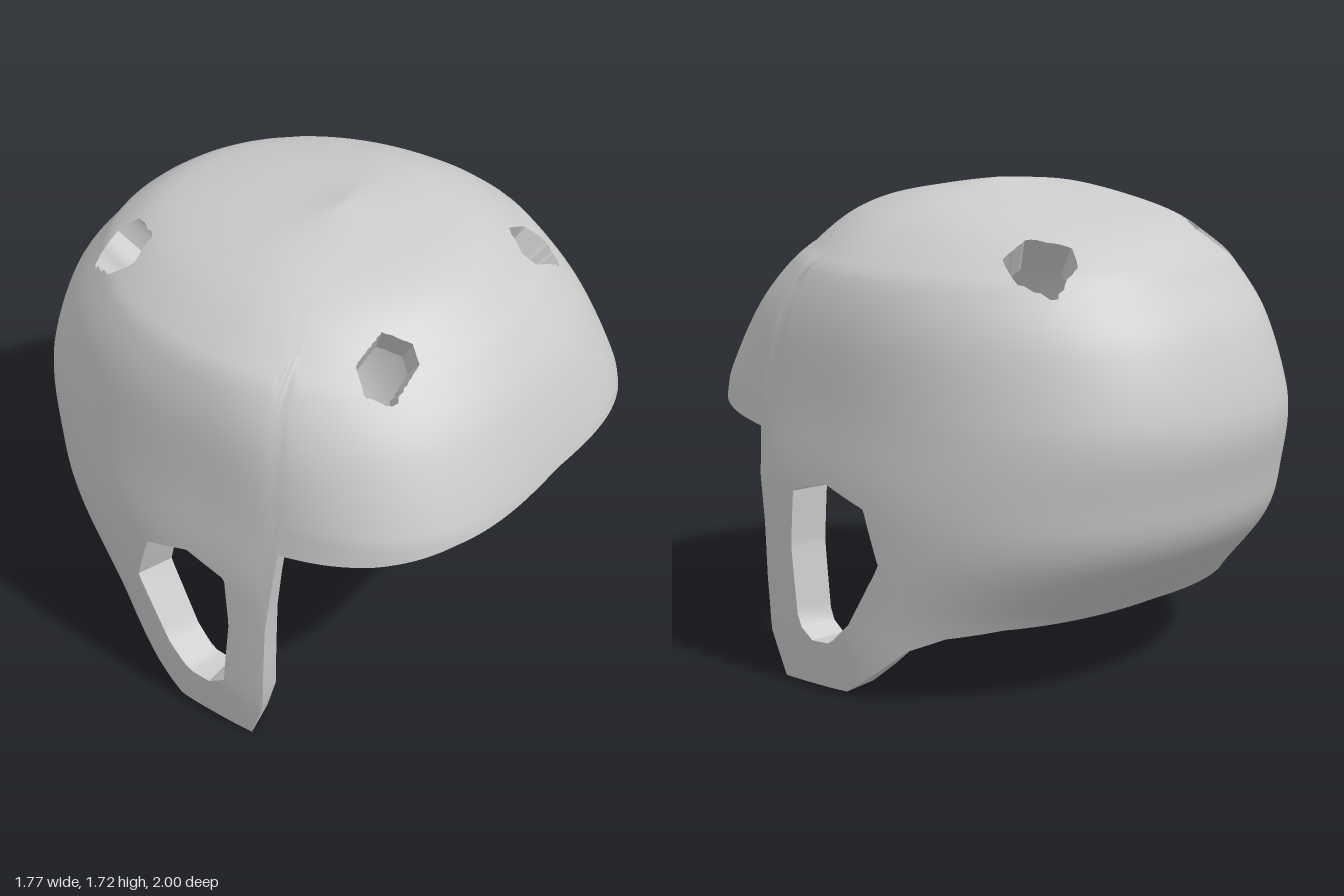
import * as THREE from 'three';
import { mergeVertices, toCreasedNormals } from 'three/addons/utils/BufferGeometryUtils.js';

const V = (x, y, z) => new THREE.Vector3(x, y, z);
const clamp = THREE.MathUtils.clamp;
const Z0 = 0.1;                         // z of the crown
const CENTRE = V(0, 0.75, Z0);

// Horizontal sections of the shell: [height, half width, front z, back z]
const SECTIONS = [
  [1.72, 0, 0.1, 0.1], [1.70, 0.2, 0.23, 0], [1.68, 0.36, 0.34, -0.14], [1.645, 0.47, 0.5, -0.38],
  [1.59, 0.58, 0.62, -0.6], [1.5, 0.7, 0.73, -0.74], [1.43, 0.76, 0.8, -0.8], [1.26, 0.815, 0.91, -0.92],
  [0.98, 0.85, 1, -1], [0.75, 0.88, 1, -0.96], [0.55, 0.885, 0.98, -0.89], [0.3, 0.885, 0.96, -0.66],
  [0.15, 0.88, 0.92, -0.55], [-0.1, 0.85, 0.9, -0.45],
];
const spline = (i, j) => new THREE.SplineCurve(SECTIONS.map((s) => new THREE.Vector2(s[i], s[j]))).getPoints(800);
const widths = spline(0, 1), depths = spline(2, 3);

// Lower edge of one side from brim centre to nape: [z, y]
const EDGE = [
  [1, 0.98], [0.93, 0.955], [0.85, 0.935], [0.75, 0.918], [0.6, 0.903], [0.44, 0.89], [0.4, 0.55],
  [0.38, 0.16], [0.32, 0], [0, 0.015], [-0.12, 0.1], [-0.24, 0.2], [-0.36, 0.255], [-0.5, 0.285], [-0.66, 0.3],
];

// Convex openings: ear holes as [z, y], vents as [x, z]
const EAR = [[0.235, 0.7], [0.07, 0.748], [-0.11, 0.69], [-0.17, 0.5], [-0.03, 0.265], [0.06, 0.18], [0.15, 0.172], [0.22, 0.22], [0.25, 0.5]];
const FRONT_VENT = [[0.38, 0.52], [0.51, 0.51], [0.56, 0.58], [0.51, 0.67], [0.36, 0.66], [0.33, 0.61]];
const BACK_VENT = [[0.36, -0.62], [0.49, -0.64], [0.55, -0.51], [0.52, -0.42], [0.4, -0.42], [0.32, -0.55]];

function section(y) {
  let lo = 0, hi = widths.length - 1;
  while (hi - lo > 1) {
    const m = (lo + hi) >> 1;
    if (widths[m].x > y) lo = m; else hi = m;
  }
  const t = clamp((widths[lo].x - y) / (widths[lo].x - widths[hi].x), 0, 1);
  const w = widths[lo].clone().lerp(widths[hi], t), d = depths[lo].clone().lerp(depths[hi], t);
  const k = clamp((1.5 - y) / 0.5, 0, 1);
  return { a: w.y + 1e-4, f: d.x - Z0 + 1e-4, b: Z0 - d.y + 1e-4, nf: 1.9 + 1.1 * k, nb: 2.1 + 0.2 * k };
}

function inside(p) {
  if (p.y > 1.72) return false;
  const s = section(p.y), front = p.z > Z0, n = front ? s.nf : s.nb;
  return (Math.abs(p.x) / s.a) ** n + (Math.abs(p.z - Z0) / (front ? s.f : s.b)) ** n < 1;
}

// Point where a ray leaves the shell
function cast(origin, dir) {
  let lo = 0, hi = 2;
  for (let i = 0; i < 30; i++) {
    const m = (lo + hi) / 2;
    if (inside(origin.clone().addScaledVector(dir, m))) lo = m; else hi = m;
  }
  return origin.clone().addScaledVector(dir, lo);
}
const toSurface = (p) => cast(CENTRE, p.clone().sub(CENTRE).normalize());

function widthAt(z, y) {
  const s = section(y), n = z > Z0 ? s.nf : s.nb;
  const u = Math.abs(z - Z0) / (z > Z0 ? s.f : s.b);
  return s.a * Math.max(0, 1 - u ** n) ** (1 / n);
}

// Position across a convex outline: below 1 is inside it
function outlineRatio(poly, u, v) {
  const cu = poly.reduce((s, p) => s + p[0], 0) / poly.length;
  const cv = poly.reduce((s, p) => s + p[1], 0) / poly.length;
  let ratio = 1e-3;
  poly.forEach((p, i) => {
    const q = poly[(i + 1) % poly.length], nu = q[1] - p[1], nv = p[0] - q[0];
    ratio = Math.max(ratio, (nu * (u - cu) + nv * (v - cv)) / (nu * (p[0] - cu) + nv * (p[1] - cv)));
  });
  return { ratio, u: cu + (u - cu) / ratio, v: cv + (v - cv) / ratio };
}

// Moves a point lying in an opening onto its outline; null when it lies in none
function snapToOpening(p) {
  const side = Math.sign(p.x), x = Math.abs(p.x);
  if (x > 0.5 && p.y < 1) {
    const h = outlineRatio(EAR, p.z, p.y);
    if (h.ratio < 1) return toSurface(V(side * widthAt(h.u, h.v), h.v, h.u));
  }
  if (p.y > 1.2) {
    for (const vent of [FRONT_VENT, BACK_VENT]) {
      const h = outlineRatio(vent, x, p.z);
      if (h.ratio < 1) return toSurface(V(side * h.u, p.y, h.v));
    }
  }
  return null;
}

// Inner surface point; at the ear flaps the wall runs sideways
function inward(p) {
  const d = p.clone().sub(CENTRE).normalize();
  if (d.y < 0) d.y *= Math.max(0, 1 - 1.3 * Math.abs(d.x));
  return p.clone().addScaledVector(d.normalize(), -0.14);
}

// Columns around the crown as [angle, lower edge height], mirrored
function columns() {
  const knots = EDGE.map(([z, y], i) => [
    i === 0 ? 0 : i === EDGE.length - 1 ? Math.PI : Math.atan2(widthAt(z, y), z - Z0), y]);
  const half = [];
  for (let i = 0; i < knots.length - 1; i++) {
    const [t0, y0] = knots[i], [t1, y1] = knots[i + 1];
    const n = Math.max(2, Math.ceil((t1 - t0) / 0.029));
    for (let k = 0; k < n; k++) half.push([t0 + (t1 - t0) * k / n, y0 + (y1 - y0) * k / n]);
  }
  half.push(knots[knots.length - 1]);
  return [...half, ...half.slice(1, -1).reverse().map(([t, y]) => [-t, y])];
}

function surface(points, index) {
  const g = new THREE.BufferGeometry().setFromPoints(points);
  g.setIndex(index);
  return g;
}

export function createModel() {
  const group = new THREE.Group();
  group.name = 'helmet';
  const material = new THREE.MeshStandardMaterial({ color: 0xcccccc, side: THREE.DoubleSide });
  const add = (geometry, name) => {
    const mesh = new THREE.Mesh(geometry, material);
    mesh.name = name;
    group.add(mesh);
  };

  // Grid from the crown down to the lower edge
  const ROWS = 80, cols = columns(), N = cols.length;
  const outer = [cast(CENTRE, V(0, 1, 0))], open = [false];
  const bottom = cols.map(([t, y]) => {
    const p = cast(V(0, y, Z0), V(Math.sin(t), 0, Math.cos(t)));
    return Math.acos(p.sub(CENTRE).normalize().y);
  });
  for (let r = 1; r <= ROWS; r++) {
    cols.forEach(([t], c) => {
      const phi = bottom[c] * r / ROWS;
      const p = cast(CENTRE, V(Math.sin(phi) * Math.sin(t), Math.cos(phi), Math.sin(phi) * Math.cos(t)));
      const snapped = snapToOpening(p);
      outer.push(snapped || p);
      open.push(!!snapped);
    });
  }
  const inner = outer.map(inward);

  // Faces, left out inside the openings
  const id = (r, c) => (r === 0 ? 0 : 1 + (r - 1) * N + (c % N));
  const faces = [], lining = [], edges = new Map();
  const face = (a, b, c) => {
    if (a === c || a === b || (open[a] && open[b] && open[c])) return;
    faces.push(a, b, c);
    lining.push(a, c, b);
    for (const [p, q] of [[a, b], [b, c], [c, a]]) edges.set(p + '_' + q, [p, q]);
  };
  for (let r = 0; r < ROWS; r++) {
    for (let c = 0; c < N; c++) {
      face(id(r, c), id(r + 1, c), id(r + 1, c + 1));
      face(id(r, c), id(r + 1, c + 1), id(r, c + 1));
    }
  }

  // Wall along every free edge: brim, flaps, nape, ear holes and vents
  const rim = [];
  const M = outer.length;
  for (const [p, q] of edges.values()) {
    if (!edges.has(q + '_' + p)) rim.push(q, p, p + M, q, p + M, q + M);
  }

  const smooth = (g) => { g.computeVertexNormals(); return g; };
  add(smooth(surface(outer, faces)), 'outerShell');
  add(smooth(surface(inner, lining)), 'innerLining');
  add(toCreasedNormals(mergeVertices(surface([...outer, ...inner], rim)), 0.5), 'rims');
  return group;
}
